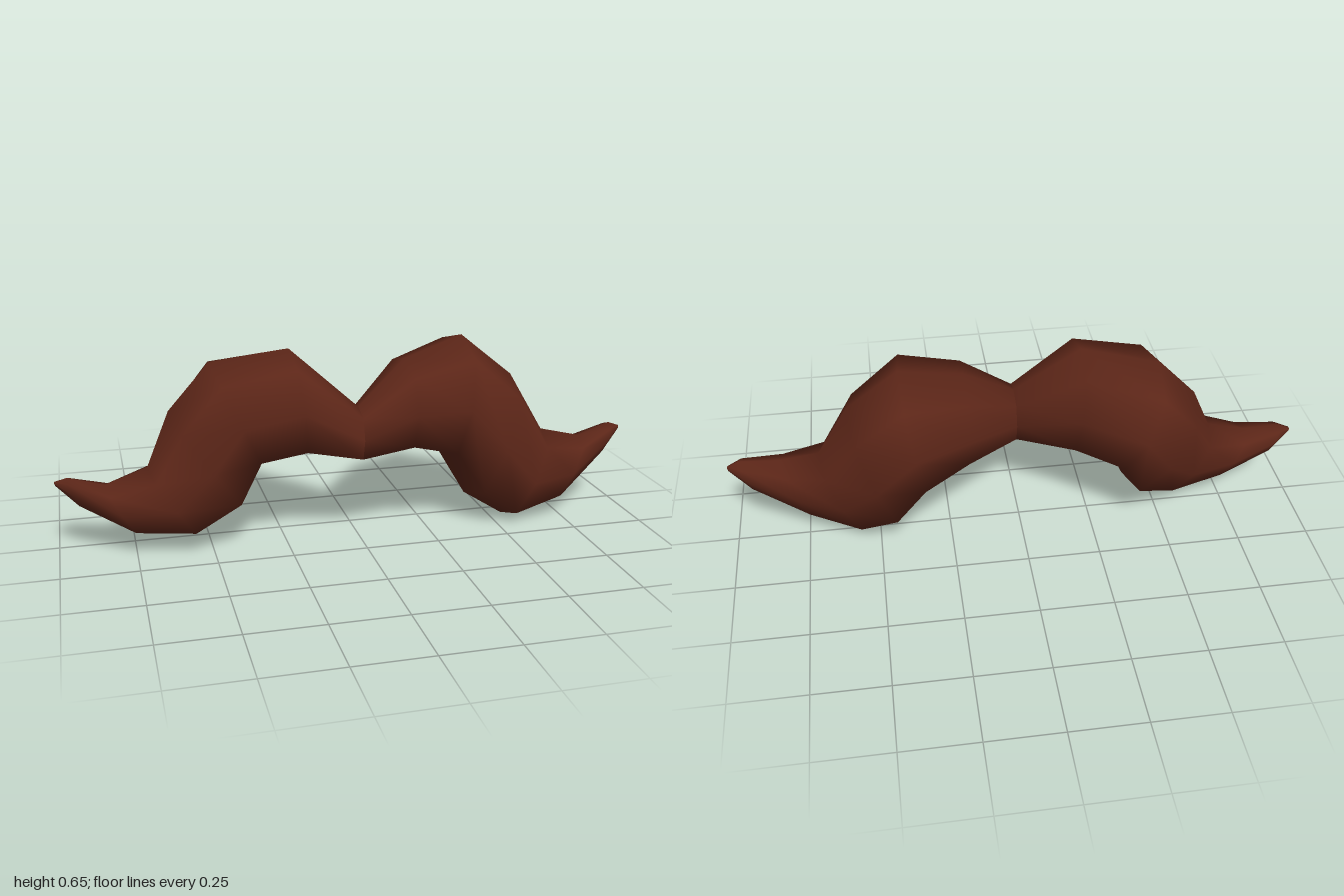
import * as THREE from 'three';

const SIDES = 8;

// Each section: top x, top y, bottom x, bottom y, back z, front z
const CENTRE = [0, 0.46, 0, 0.275, 0.03, 0.215];
const LEFT = [
  CENTRE,
  [0.18, 0.595, 0.18, 0.285, -0.14, 0.228],
  [0.40, 0.657, 0.33, 0.235, -0.235, 0.232],
  [0.58, 0.51, 0.42, 0.08, -0.19, 0.228],
  [0.69, 0.31, 0.55, 0.003, -0.09, 0.20],
  [0.83, 0.28, 0.73, 0.055, -0.02, 0.165],
  [0.96, 0.31, 0.92, 0.20, 0.0, 0.09],
  [1.0, 0.295, 0.995, 0.28, 0.03, 0.05],
];
const RIGHT = [
  CENTRE,
  [-0.22, 0.655, -0.18, 0.29, -0.13, 0.228],
  [-0.48, 0.61, -0.32, 0.265, -0.235, 0.232],
  [-0.62, 0.46, -0.38, 0.13, -0.19, 0.228],
  [-0.70, 0.285, -0.54, 0.05, -0.08, 0.20],
  [-0.84, 0.24, -0.74, 0.07, -0.02, 0.165],
  [-0.96, 0.265, -0.92, 0.165, 0.0, 0.09],
  [-1.0, 0.252, -0.995, 0.24, 0.03, 0.05],
];

// Skin over full, rounded cross-sections, listed in order of rising x
function loft(sections, tipAtEnd) {
  const positions = [];
  const index = [];
  for (const [tx, ty, bx, by, back, front] of sections) {
    for (let j = 0; j < SIDES; j++) {
      const a = (j / SIDES) * Math.PI * 2;
      const full = j % 2 ? 1.08 : 1; // fuller corners
      const u = Math.cos(a) * full;
      const w = Math.sin(a) * full;
      positions.push(
        (tx + bx) / 2 + u * (tx - bx) / 2,
        (ty + by) / 2 + u * (ty - by) / 2,
        (front + back) / 2 + w * (front - back) / 2
      );
    }
  }
  for (let i = 0; i < sections.length - 1; i++) {
    for (let j = 0; j < SIDES; j++) {
      const k = (j + 1) % SIDES;
      const a = i * SIDES + j, b = i * SIDES + k;
      const c = b + SIDES, d = a + SIDES;
      index.push(a, b, c, a, c, d);
    }
  }
  // Close the tip
  const s = tipAtEnd ? (sections.length - 1) * SIDES : 0;
  for (let j = 1; j < SIDES - 1; j++) {
    if (tipAtEnd) index.push(s, s + j, s + j + 1);
    else index.push(s, s + j + 1, s + j);
  }
  const geometry = new THREE.BufferGeometry();
  geometry.setAttribute('position', new THREE.Float32BufferAttribute(positions, 3));
  geometry.setIndex(index);
  geometry.computeVertexNormals();
  return geometry;
}

export function createModel() {
  const group = new THREE.Group();
  group.name = 'moustache';
  const hair = new THREE.MeshStandardMaterial({ color: 0x5c2618 });

  // Two separate halves keep a crease at the centre
  const left = new THREE.Mesh(loft(LEFT, true), hair);
  left.name = 'leftHalf';
  const right = new THREE.Mesh(loft([...RIGHT].reverse(), false), hair);
  right.name = 'rightHalf';
  group.add(left, right);
  return group;
}
